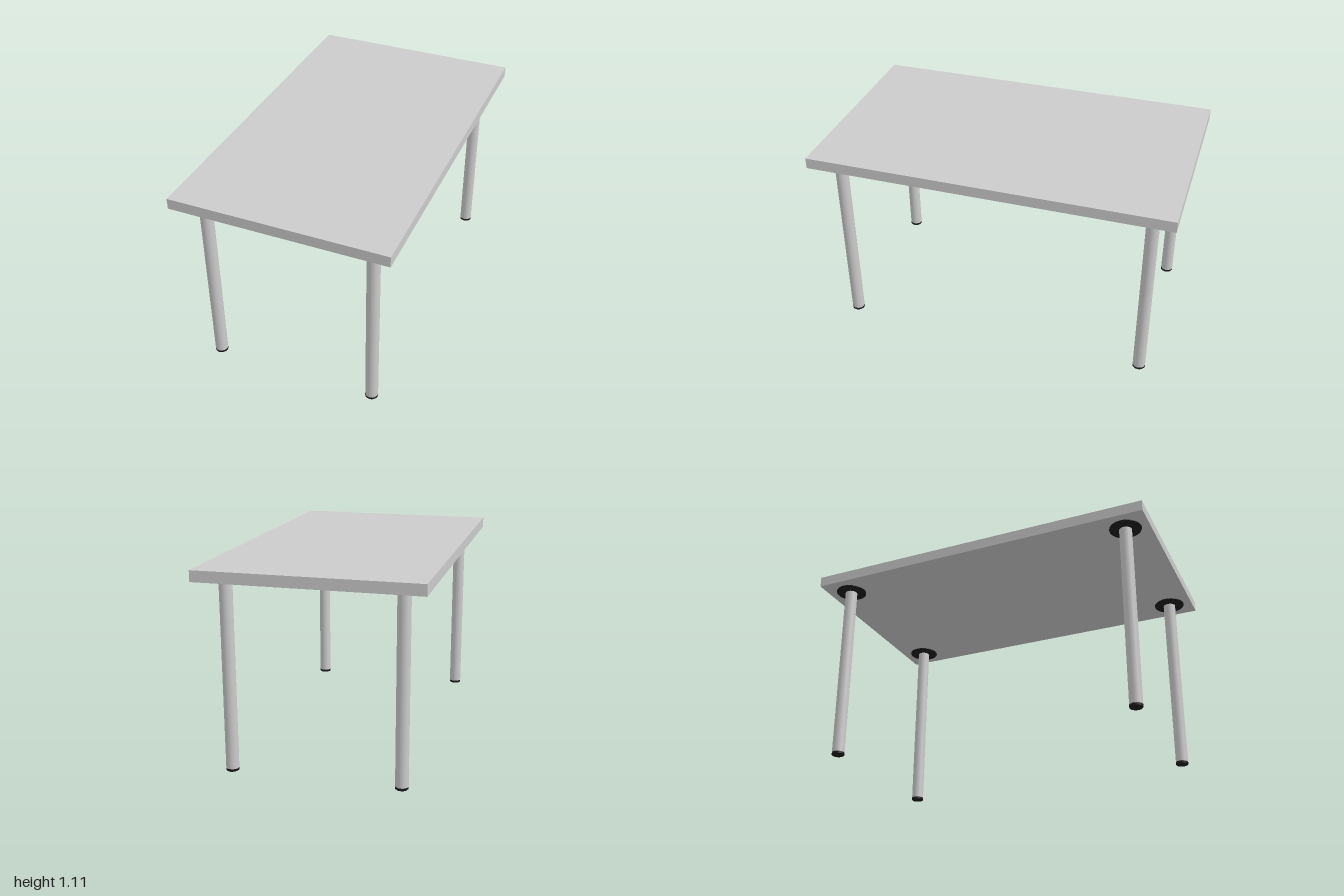
import * as THREE from 'three';

const grey = new THREE.MeshStandardMaterial({ color: 0xcccccc });
const dark = new THREE.MeshStandardMaterial({ color: 0x1c1c1c });

function part(name, geometry, material, x = 0, y = 0, z = 0) {
  const mesh = new THREE.Mesh(geometry, material);
  mesh.name = name;
  mesh.position.set(x, y, z);
  return mesh;
}

const lathe = (points) =>
  new THREE.LatheGeometry(points.map(([r, y]) => new THREE.Vector2(r, y)), 40);

function createLeg() {
  const leg = new THREE.Group();
  leg.name = 'leg';

  // Tubular post
  leg.add(part('post', new THREE.CylinderGeometry(0.035, 0.035, 1.026, 40, 1, true), grey, 0, 0.528));

  // Plastic foot cap with a small bevel
  leg.add(part('footCap', lathe([
    [0, 0], [0.032, 0], [0.032, 0], [0.035, 0.003], [0.035, 0.003], [0.035, 0.016], [0.035, 0.016], [0, 0.016],
  ]), dark));

  // Round mounting plate with a raised collar
  leg.add(part('mountingPlate', lathe([
    [0, 1.041], [0.052, 1.041], [0.052, 1.041], [0.056, 1.046], [0.056, 1.046],
    [0.088, 1.046], [0.088, 1.046], [0.088, 1.05],
  ]), dark));

  // Screw heads around the plate
  for (let i = 0; i < 6; i++) {
    const a = (i / 6) * Math.PI * 2;
    leg.add(part('screwHead', new THREE.CylinderGeometry(0.006, 0.005, 0.003, 12), dark,
      0.073 * Math.cos(a), 1.0447, 0.073 * Math.sin(a)));
  }
  return leg;
}

export function createModel() {
  const table = new THREE.Group();
  table.name = 'table';

  // Flat rectangular top
  table.add(part('tableTop', new THREE.BoxGeometry(1.194, 0.06, 2), grey, 0, 1.08));

  // One leg near each corner
  for (const x of [-1, 1]) {
    for (const z of [-1, 1]) {
      const leg = createLeg();
      leg.position.set(x * 0.462, 0, z * 0.866);
      table.add(leg);
    }
  }
  return table;
}
